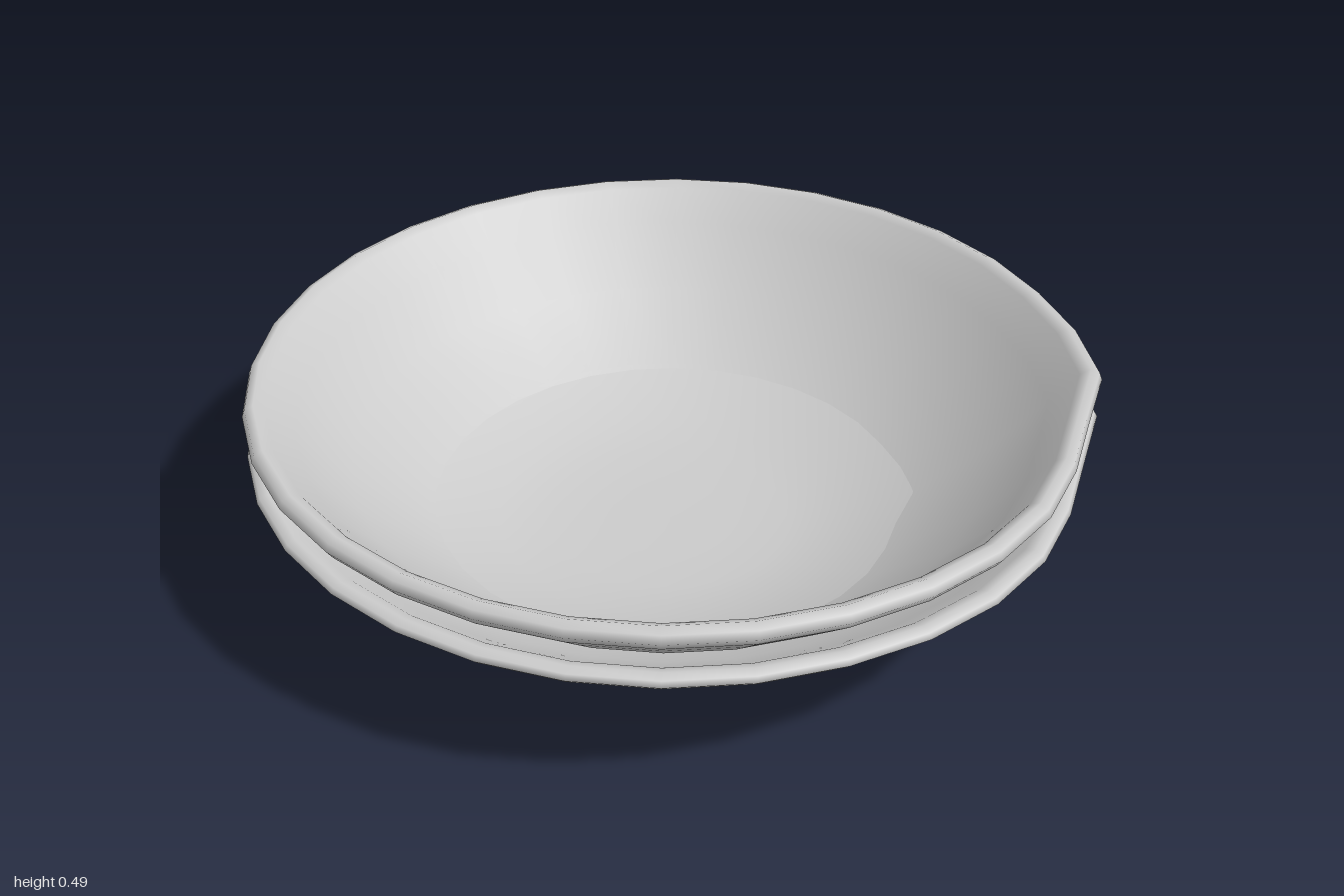
import * as THREE from 'three';

const SEGMENTS = 32;

// Bowl section: centre of the underside, out to the rolled lip, back to the centre of the floor
const PROFILE = [
  [0, 0], [0.15, 0.002], [0.3, 0.01], [0.43, 0.04], [0.6, 0.122], [0.78, 0.255],
  [0.9, 0.36], [0.985, 0.435], [1, 0.457], [0.993, 0.476], [0.973, 0.485],
  [0.948, 0.472], [0.885, 0.395], [0.765, 0.265], [0.59, 0.128], [0.42, 0.046],
  [0.29, 0.016], [0.15, 0.008], [0, 0.006],
];

// Slight unevenness of the rim, by segment number: [radial scale, height shift]
const DENTS = {
  4: [1, -0.004], 5: [1, -0.007], 6: [0.995, -0.009], 7: [0.982, -0.01],
  8: [0.98, -0.009], 9: [1.02, 0.01], 10: [1.01, 0.004],
};

function makeBowl(name, heightScale, lift, unevenHeight) {
  const points = PROFILE.map(([r, y]) => new THREE.Vector2(r, y * heightScale + lift));
  const geometry = new THREE.LatheGeometry(points, SEGMENTS);

  // Push the dented segments in or out, fading towards the centre
  const pos = geometry.attributes.position;
  for (let i = 0; i < pos.count; i++) {
    const dent = DENTS[Math.floor(i / PROFILE.length)];
    if (!dent) continue;
    const x = pos.getX(i), z = pos.getZ(i);
    const fade = x * x + z * z;
    const scale = 1 + (dent[0] - 1) * fade;
    const shift = dent[1] * fade * unevenHeight;
    pos.setXYZ(i, x * scale, pos.getY(i) + shift, z * scale);
  }

  const material = new THREE.MeshStandardMaterial({ color: 0xcccccc, side: THREE.DoubleSide });
  const bowl = new THREE.Mesh(geometry, material);
  bowl.name = name;
  return bowl;
}

export function createModel() {
  const group = new THREE.Group();
  group.name = 'stackedBowls';
  // The deep bowl nests in the shallow one and shows through its base
  group.add(makeBowl('upperBowl', 1, 0, 0.2));
  group.add(makeBowl('lowerBowl', 0.67, 0.04, 1));
  return group;
}
